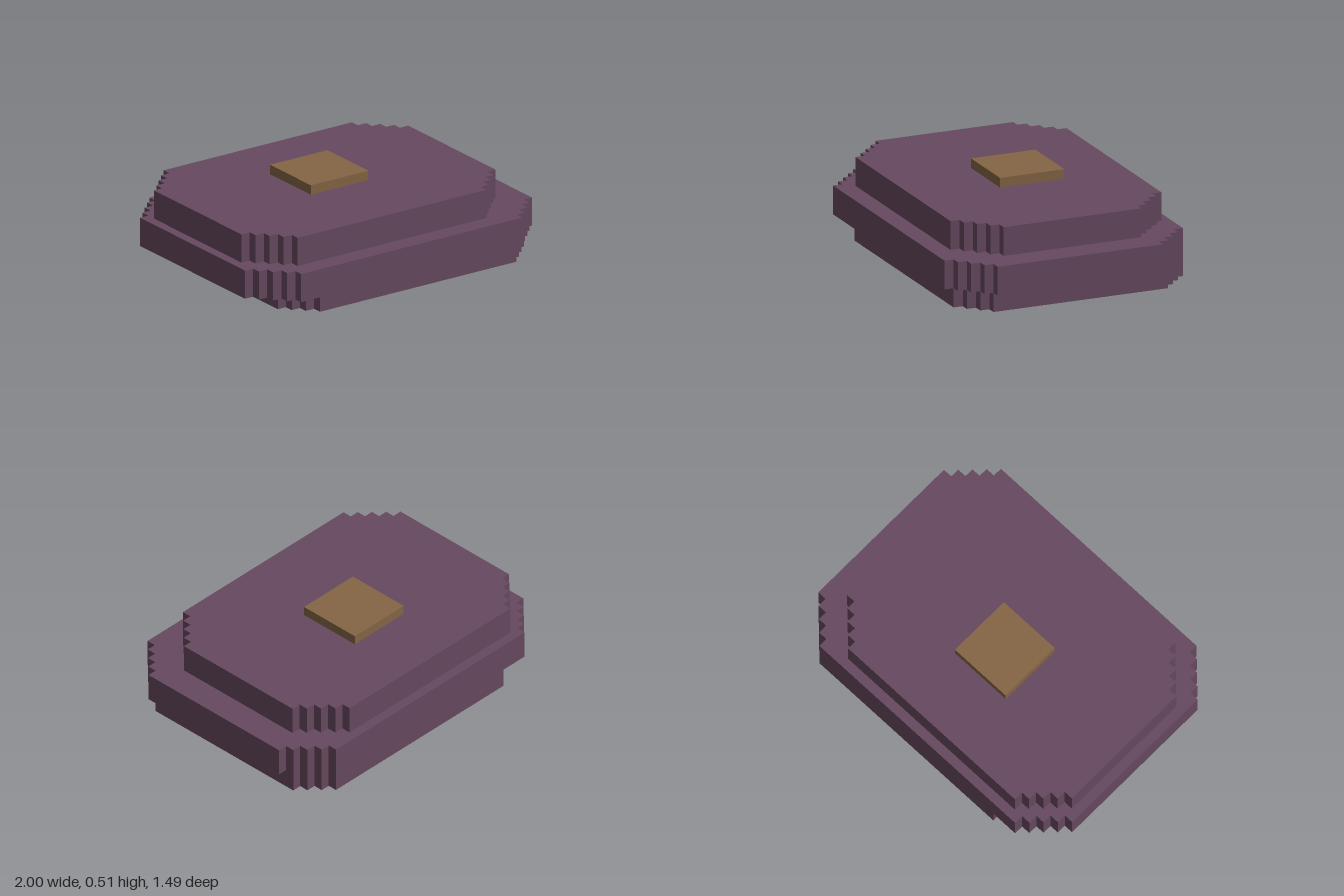
import * as THREE from 'three';

const U = 2 / 35;            // one grid cell
const NX = 35, NZ = 26;      // grid size

// Rectangle of cells with stair-stepped corners of c steps
const stepped = (x0, x1, z0, z1, c) => (i, k) => {
  const dx = Math.min(i - x0, x1 - 1 - i), dz = Math.min(k - z0, z1 - 1 - k);
  return dx >= 0 && dz >= 0 && dx + dz >= c;
};
const none = () => false;

// Collects quads given in grid units
class Quads {
  constructor() { this.pos = []; }
  add(a, b, c, d) {
    for (const [x, y, z] of [a, b, c, a, c, d]) {
      this.pos.push((x - NX / 2) * U, y * U, (z - NZ / 2) * U);
    }
  }
  // Horizontal plate at height y: cells of shape that are not in hole
  plate(shape, hole, y, up) {
    for (let k = 0; k < NZ; k++) {
      let start = -1;
      for (let i = 0; i <= NX; i++) {
        const on = i < NX && shape(i, k) && !hole(i, k);
        if (on && start < 0) start = i;
        if (!on && start >= 0) {
          const q = [[start, y, k], [start, y, k + 1], [i, y, k + 1], [i, y, k]];
          this.add(...(up ? q : q.reverse()));
          start = -1;
        }
      }
    }
    return this;
  }
  // Upright wall around the outline of shape
  walls(shape, y0, y1) {
    const wall = (ax, az, bx, bz) =>
      this.add([ax, y0, az], [bx, y0, bz], [bx, y1, bz], [ax, y1, az]);
    for (let k = 0; k < NZ; k++) {
      for (let i = 0; i < NX; i++) {
        if (!shape(i, k)) continue;
        if (!shape(i, k + 1)) wall(i, k + 1, i + 1, k + 1);
        if (!shape(i, k - 1)) wall(i + 1, k, i, k);
        if (!shape(i + 1, k)) wall(i + 1, k + 1, i + 1, k);
        if (!shape(i - 1, k)) wall(i, k, i, k + 1);
      }
    }
    return this;
  }
  mesh(name, material) {
    const g = new THREE.BufferGeometry();
    g.setAttribute('position', new THREE.Float32BufferAttribute(this.pos, 3));
    g.computeVertexNormals();
    const m = new THREE.Mesh(g, material);
    m.name = name;
    return m;
  }
}

export function createModel() {
  const group = new THREE.Group();
  group.name = 'steppedCap';
  const purple = new THREE.MeshStandardMaterial({ color: 0x674a60, side: THREE.DoubleSide });
  purple.name = 'dusky purple';
  const brown = new THREE.MeshStandardMaterial({ color: 0x856645, side: THREE.DoubleSide });
  brown.name = 'tan brown';

  // Outlines of the tiers
  const base = stepped(4, 34, 0, 25, 3);
  const opening = stepped(7, 31, 3, 22, 3);
  const band = stepped(0, 35, 0, 26, 4);
  const crown = stepped(1, 32, 1, 24, 4);
  const button = stepped(13, 20, 8, 15, 0);

  // Hollow base with an opening underneath
  group.add(new Quads().plate(base, opening, 0, false).walls(base, 0, 2)
    .mesh('baseRim', purple));
  // Wide middle band
  group.add(new Quads().plate(band, base, 2, false).walls(band, 2, 5)
    .plate(band, crown, 5, true).mesh('middleBand', purple));
  // Upper crown, open below the button
  group.add(new Quads().walls(crown, 5, 8).plate(crown, button, 8, true)
    .mesh('crown', purple));
  // Button on top
  group.add(new Quads().walls(button, 8, 9).plate(button, none, 9, true)
    .mesh('topButton', brown));
  return group;
}
